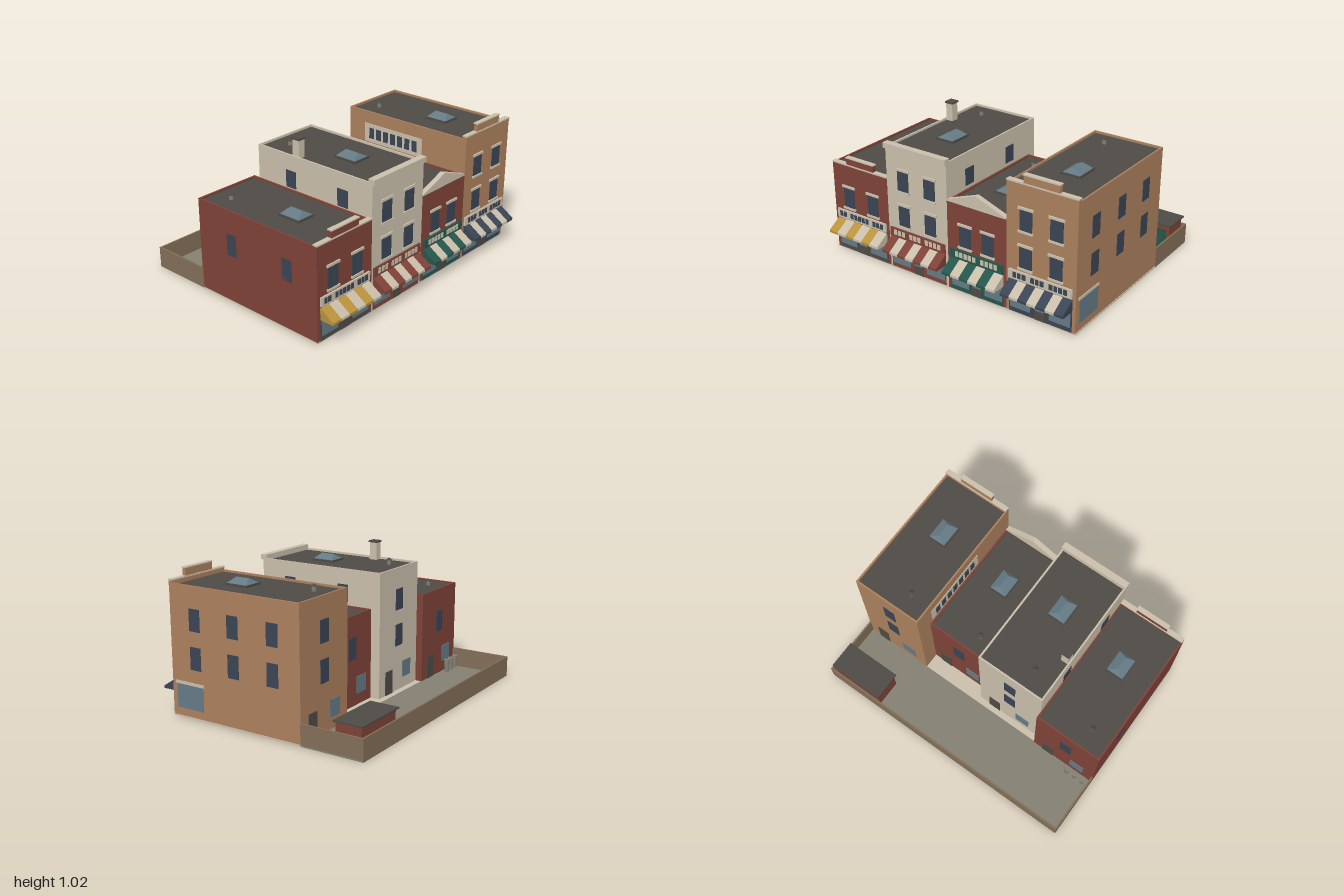
import * as THREE from 'three';

const mat = (name, color) => {
  const m = new THREE.MeshStandardMaterial({ color });
  m.name = name;
  return m;
};
const M = {
  brick: mat('brick red', 0x7e4237), cream: mat('cream stone', 0xc9beaa), tan: mat('tan brick', 0xab805d),
  roof: mat('dark roofing', 0x4e4a45), navy: mat('navy', 0x3a4453), glass: mat('shop glass', 0x647a85),
  gold: mat('gold', 0xb8923c), green: mat('dark green', 0x25564a), grey: mat('yard grey', 0x838072),
  brown: mat('wall brown', 0x826e57),
};
const FRONT = 0.69;

function add(parent, name, geo, material, x = 0, y = 0, z = 0) {
  const m = new THREE.Mesh(geo, material);
  m.name = name;
  m.position.set(x, y, z);
  parent.add(m);
  return m;
}
// Box given by its limits on each axis
function box(parent, name, material, x0, x1, y0, y1, z0, z1) {
  return add(parent, name, new THREE.BoxGeometry(x1 - x0, y1 - y0, z1 - z0), material,
    (x0 + x1) / 2, (y0 + y1) / 2, (z0 + z1) / 2);
}
// Thin plate on a wall facing z (dir = 1 front, -1 back)
function plateZ(parent, name, material, x, w, y0, y1, z, dir, t = 0.005) {
  return box(parent, name, material, x - w / 2, x + w / 2, y0, y1, Math.min(z, z + dir * t), Math.max(z, z + dir * t));
}
// Thin plate on a wall facing x
function plateX(parent, name, material, z, w, y0, y1, x, dir, t = 0.004) {
  return box(parent, name, material, Math.min(x, x + dir * t), Math.max(x, x + dir * t), y0, y1, z - w / 2, z + w / 2);
}

// Striped wedge awning: boxes whose top front edge is lowered
function awning(parent, x0, x1, n, color) {
  const w = (x1 - x0) / n;
  for (let i = 0; i < n; i++) {
    const geo = new THREE.BoxGeometry(w, 0.085, 0.105);
    const p = geo.attributes.position;
    for (let k = 0; k < p.count; k++) if (p.getZ(k) > 0 && p.getY(k) > 0) p.setY(k, -0.025);
    geo.computeVertexNormals();
    add(parent, 'awningStripe', geo, i % 2 ? M.cream : color, x0 + w * (i + 0.5), 0.2025, FRONT + 0.0525);
  }
}

// Hipped glass skylight on a dark curb
function skylight(parent, x, y, z) {
  box(parent, 'skylightCurb', M.roof, x - 0.072, x + 0.072, y, y + 0.014, z - 0.088, z + 0.088);
  const geo = new THREE.BoxGeometry(0.125, 0.034, 0.16);
  const p = geo.attributes.position;
  for (let k = 0; k < p.count; k++) if (p.getY(k) > 0) { p.setX(k, p.getX(k) * 0.02); p.setZ(k, p.getZ(k) * 0.62); }
  geo.computeVertexNormals();
  add(parent, 'skylightGlass', geo, M.glass, x, y + 0.031, z);
}

function vent(parent, x, y, z) {
  add(parent, 'ventPipe', new THREE.CylinderGeometry(0.015, 0.015, 0.036, 8), M.grey, x, y + 0.018, z);
  add(parent, 'ventCap', new THREE.ConeGeometry(0.024, 0.018, 8), M.roof, x, y + 0.042, z);
}

// Row of small panes in groups; returns nothing, centred on x
function panes(parent, material, x, groups) {
  const pitch = 0.035, gap = 0.03;
  const total = groups.reduce((a, b) => a + b, 0) * pitch + gap * (groups.length - 1);
  let px = x - total / 2;
  for (const n of groups) {
    for (let i = 0; i < n; i++, px += pitch)
      plateZ(parent, 'fasciaPane', material, px + pitch / 2, 0.026, 0.265, 0.303, FRONT + 0.012, 1, 0.003);
    px += gap;
  }
}

function building(root, b) {
  const g = new THREE.Group();
  g.name = b.name;
  root.add(g);
  const { x0, x1, back, h, wall } = b, cx = (x0 + x1) / 2, t = 0.012, deck = h - 0.014;

  // Walls, roof deck and raised rim
  box(g, 'walls', wall, x0, x1, 0.006, deck - 0.004, back, FRONT);
  box(g, 'roofDeck', M.roof, x0 + t, x1 - t, deck - 0.004, deck, back + t, FRONT - t);
  box(g, 'rimRight', wall, x0, x0 + t, deck - 0.004, h, back, FRONT);
  box(g, 'rimLeft', wall, x1 - t, x1, deck - 0.004, h, back, FRONT);
  box(g, 'rimBack', wall, x0 + t, x1 - t, deck - 0.004, h, back, back + t);
  box(g, 'rimFront', wall, x0 + t, x1 - t, deck - 0.004, h, FRONT - 0.03, FRONT);
  skylight(g, cx, deck, b.skyZ);
  vent(g, cx - 0.1, deck, b.ventZ);

  // Shop front
  const [s0, s1] = b.shop, sw = s1 - s0, sc = (s0 + s1) / 2;
  plateZ(g, 'shopFront', b.trim, sc, sw, 0.01, 0.25, FRONT, 1, 0.004);
  for (const s of [-1, 1]) plateZ(g, 'shopWindow', M.glass, sc + s * sw * 0.315, sw * 0.33, 0.042, 0.225, FRONT + 0.004, 1, 0.003);
  plateZ(g, 'shopDoor', M.roof, sc, 0.08, 0.01, 0.215, FRONT + 0.004, 1, 0.003);
  plateZ(g, 'doorGlass', M.glass, sc, 0.066, 0.075, 0.2, FRONT + 0.007, 1, 0.002);
  plateZ(g, 'fascia', b.sign, sc, sw, 0.25, 0.314, FRONT, 1, 0.012);
  panes(g, b.pane, sc, b.groups);
  awning(g, s0, s1, b.stripes, b.awning);

  // Upper windows, front and back
  for (const [y0, y1] of b.floors) {
    for (const s of [-1, 1]) {
      const wx = cx + s * b.winOff;
      plateZ(g, 'frontWindow', M.navy, wx, 0.092, y0, y1, FRONT, 1);
      plateZ(g, 'lintel', M.cream, wx, 0.115, y1 - 0.003, y1 + 0.014, FRONT, 1, 0.01);
      plateZ(g, 'sill', M.cream, wx, 0.11, y0 - 0.011, y0 + 0.004, FRONT, 1, 0.012);
    }
    plateZ(g, 'backWindow', M.navy, cx, 0.09, y0, y1, back, -1);
  }
  plateZ(g, 'backDoor', M.roof, cx + 0.13, 0.09, 0.01, 0.18, back, -1);
  plateZ(g, 'backShopWindow', M.glass, cx - 0.11, 0.11, 0.09, 0.21, back, -1);
  return g;
}

// Front cornice with a raised centre block and cap
function steppedParapet(g, wall, x0, x1, y, b0, b1, top) {
  box(g, 'parapetWall', wall, x0, x1, y - 0.03, y, FRONT - 0.028, FRONT);
  box(g, 'cornice', M.cream, x0, x1, y, y + 0.01, FRONT - 0.033, FRONT + 0.004);
  box(g, 'parapetBlock', wall, b0, b1, y + 0.01, top - 0.008, FRONT - 0.027, FRONT);
  box(g, 'parapetCap', M.cream, b0 - 0.004, b1 + 0.004, top - 0.008, top, FRONT - 0.032, FRONT + 0.004);
}

export function createModel() {
  const root = new THREE.Group();
  root.name = 'shopRow';
  const low = [0.34, 0.495], high = [0.6, 0.75];

  // Ground slab and rear yard
  box(root, 'groundSlab', M.cream, -1, 1, 0, 0.01, -0.345, FRONT);
  box(root, 'yardFloor', M.grey, -1, 1, 0, 0.01, -0.79, -0.345);
  box(root, 'yardWallBack', M.brown, -1, 1, 0, 0.15, -0.8, -0.788);
  for (const s of [-1, 1]) box(root, 'yardWallSide', M.brown, s * 0.994 - 0.006, s * 0.994 + 0.006, 0, 0.15, -0.788, -0.345);
  box(root, 'shedWalls', M.brick, 0.582, 0.972, 0.01, 0.205, -0.77, -0.585);
  box(root, 'shedRoof', M.roof, 0.565, 0.985, 0.205, 0.215, -0.785, -0.573);
  plateZ(root, 'shedDoor', M.green, 0.777, 0.34, 0.01, 0.175, -0.585, 1);
  for (const x of [-0.945, -0.88, -0.818]) {
    add(root, 'bin', new THREE.CylinderGeometry(0.02, 0.017, 0.085, 10), M.grey, x, 0.0525, -0.39);
    add(root, 'binLid', new THREE.CylinderGeometry(0.022, 0.022, 0.01, 10), M.grey, x, 0.1, -0.39);
  }

  // Low brick shop with gold awning
  const a = building(root, {
    name: 'goldAwningShop', x0: -1, x1: -0.5, back: -0.35, h: 0.66, wall: M.brick, trim: M.roof, sign: M.cream,
    pane: M.navy, groups: [2, 5, 3], awning: M.gold, stripes: 6, shop: [-0.975, -0.525], floors: [low],
    winOff: 0.11, skyZ: 0.285, ventZ: -0.2,
  });
  steppedParapet(a, M.brick, -1, -0.5, 0.66, -0.87, -0.625, 0.724);
  for (const z of [-0.05, 0.44]) plateX(a, 'sideWindow', M.navy, z, 0.087, ...low, -0.996, -1);

  // Tall cream shop with chimney
  const b = building(root, {
    name: 'redAwningShop', x0: -0.5, x1: 0.01, back: -0.3, h: 0.9, wall: M.cream, trim: M.brick, sign: M.brick,
    pane: M.cream, groups: [3, 3, 4], awning: M.brick, stripes: 7, shop: [-0.482, -0.01], floors: [low, high],
    winOff: 0.112, skyZ: 0.3, ventZ: -0.155,
  });
  box(b, 'cornice', M.cream, -0.505, 0.015, 0.89, 0.926, 0.66, 0.708);
  box(b, 'chimney', M.cream, -0.488, -0.435, 0.88, 1.012, 0.005, 0.062);
  box(b, 'chimneyCap', M.roof, -0.494, -0.429, 1.012, 1.024, -0.001, 0.068);
  for (const z of [0, 0.45]) {
    plateX(b, 'sideWindow', M.navy, z, 0.087, 0.67, 0.79, 0.01, 1);
    plateX(b, 'sideWindow', M.navy, z, 0.087, 0.67, 0.79, -0.5, -1);
  }

  // Low brick shop with pediment
  const c = building(root, {
    name: 'greenAwningShop', x0: 0.01, x1: 0.48, back: -0.23, h: 0.645, wall: M.brick, trim: M.green, sign: M.green,
    pane: M.cream, groups: [5, 4], awning: M.green, stripes: 6, shop: [0.035, 0.457], floors: [low],
    winOff: 0.09, skyZ: 0.315, ventZ: -0.1,
  });
  const tri = new THREE.Shape([[0.012, 0.643], [0.478, 0.643], [0.478, 0.652], [0.245, 0.736], [0.012, 0.652]]
    .map(([x, y]) => new THREE.Vector2(x, y)));
  add(c, 'pediment', new THREE.ExtrudeGeometry(tri, { depth: 0.037, bevelEnabled: false }), M.cream, 0, 0, 0.657);

  // Tall tan corner shop
  const d = building(root, {
    name: 'navyAwningShop', x0: 0.48, x1: 0.996, back: -0.345, h: 0.9, wall: M.tan, trim: M.navy, sign: M.cream,
    pane: M.navy, groups: [3, 3, 4], awning: M.navy, stripes: 7, shop: [0.502, 0.972], floors: [low, high],
    winOff: 0.112, skyZ: 0.29, ventZ: -0.2,
  });
  steppedParapet(d, M.tan, 0.48, 0.998, 0.914, 0.605, 0.865, 0.982);
  for (const z of [-0.138, 0.172, 0.484])
    for (const f of [low, high]) plateX(d, 'sideWindow', M.navy, z, 0.087, f[0], f[1], 0.996, 1);
  plateX(d, 'sideShopWindow', M.glass, 0.541, 0.22, 0.065, 0.23, 0.996, 1);
  plateX(d, 'sideShopLintel', M.cream, 0.541, 0.24, 0.23, 0.25, 0.996, 1, 0.005);

  // Painted panel on the wall above the low roof
  plateX(d, 'wallPanel', M.cream, 0.06, 0.52, 0.67, 0.81, 0.48, -1);
  for (let i = 0; i < 7; i++) plateX(d, 'wallPanelPane', M.navy, -0.135 + i * 0.065, 0.042, 0.7, 0.78, 0.476, -1, 0.003);

  return root;
}
